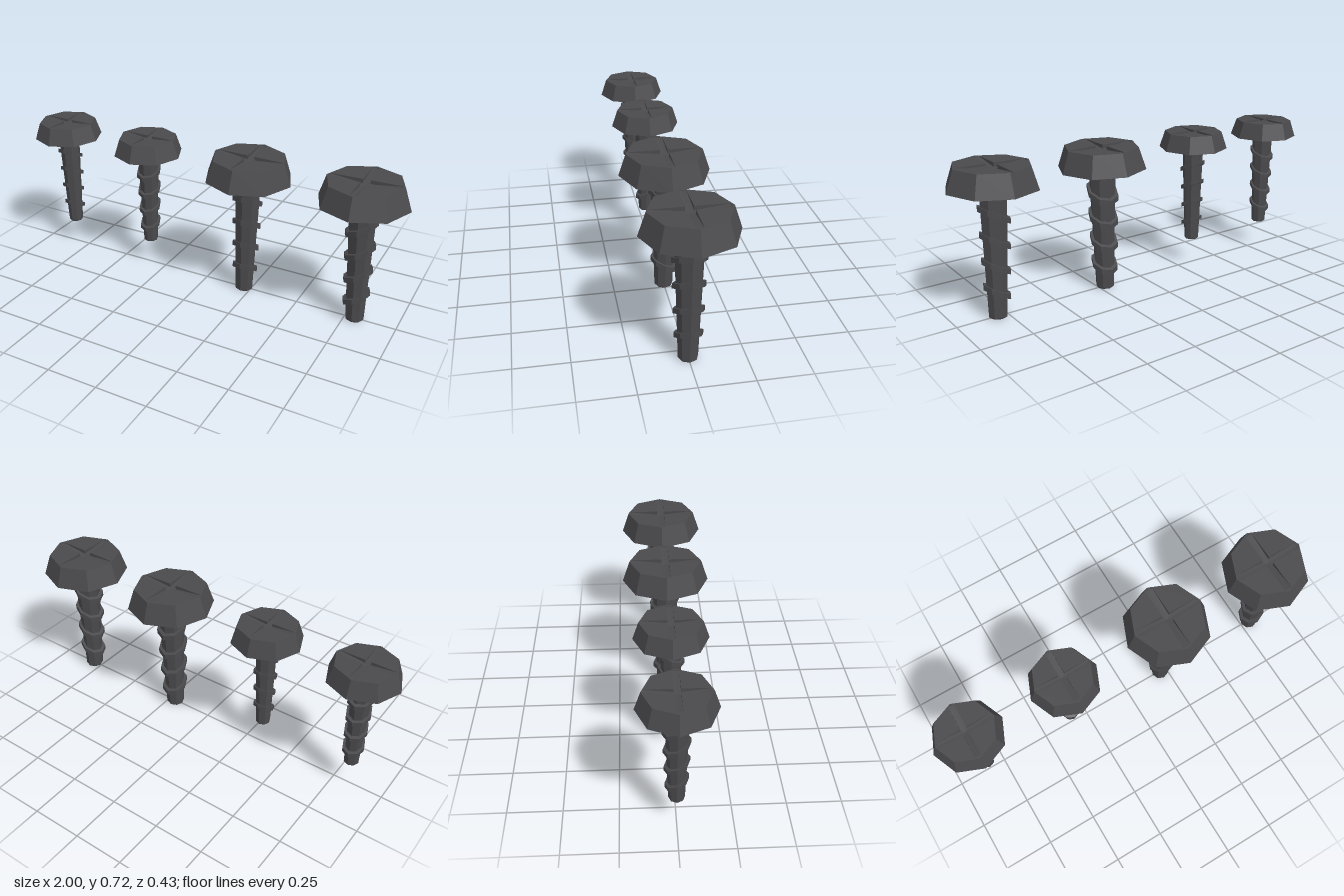
import * as THREE from 'three';

const steel = new THREE.MeshStandardMaterial({ color: 0x4a4a4d });
steel.name = 'dark steel';

const TOP = 0.717, HEAD_BOTTOM = 0.612, R_TOP = 0.179, R_RIM = 0.214;

// Faceted mesh with a plain name
function part(name, geometry) {
  const g = geometry.index ? geometry.toNonIndexed() : geometry;
  g.computeVertexNormals();
  const mesh = new THREE.Mesh(g, steel);
  mesh.name = name;
  return mesh;
}

function lathe(points, sides) {
  return new THREE.LatheGeometry(points.map(([r, y]) => new THREE.Vector2(r, y)), sides);
}

// Octagonal top plate with a cross-shaped slot
function slottedTop() {
  const shape = new THREE.Shape();
  for (let i = 0; i < 8; i++) {
    const a = i * Math.PI / 4;
    shape[i ? 'lineTo' : 'moveTo'](R_TOP * Math.cos(a), R_TOP * Math.sin(a));
  }
  shape.closePath();
  const w = 0.018, l = 0.165;
  const cross = [[w, w], [w, l], [-w, l], [-w, w], [-l, w], [-l, -w],
    [-w, -w], [-w, -l], [w, -l], [w, -w], [l, -w], [l, w]];
  shape.holes.push(new THREE.Path(cross.map(([x, y]) => new THREE.Vector2(x, y)).reverse()));
  const g = new THREE.ExtrudeGeometry(shape, { depth: 0.024, bevelEnabled: false });
  return g.rotateX(-Math.PI / 2).translate(0, TOP - 0.024, 0);
}

// Slot floor: a shallow dish, deepest at the middle
function slotFloor() {
  const g = new THREE.CircleGeometry(R_TOP, 8).rotateX(-Math.PI / 2);
  g.attributes.position.setY(0, -0.022);
  return g.translate(0, TOP - 0.001, 0);
}

// Slanted thread ring, high on its +z side
function threadRing(y) {
  const radius = 0.061 + 0.033 * y;
  const g = new THREE.CylinderGeometry(radius, radius, 0.025, 8);
  const p = g.attributes.position;
  for (let i = 0; i < p.count; i++) p.setY(i, p.getY(i) + 0.48 * p.getZ(i));
  return g.translate(0, y, 0);
}

function makeScrew() {
  const screw = new THREE.Group();
  screw.add(
    part('headSides', lathe([[0, HEAD_BOTTOM], [R_RIM, HEAD_BOTTOM], [R_TOP, TOP]], 8)),
    part('headTop', slottedTop()),
    part('slotFloor', slotFloor()),
    part('shaft', lathe([[0, 0], [0.042, 0], [0.045, 0.005], [0.066, HEAD_BOTTOM + 0.005]], 8)),
  );
  for (const y of [0.49, 0.368, 0.246, 0.124]) screw.add(part('threadRing', threadRing(y)));
  // Put the pivot at the top of the head
  for (const m of screw.children) m.position.y = -TOP;
  return screw;
}

export function createModel() {
  const model = new THREE.Group();
  model.name = 'screws';
  // x, scale, turn about the shaft, sideways lean
  const layout = [
    [-0.828, 0.806, 0, 0.004],
    [-0.335, 0.806, Math.PI, -0.004],
    [0.223, 1, 0, -0.014],
    [0.785, 1, Math.PI / 2, 0.018],
  ];
  layout.forEach(([x, size, turn, lean], i) => {
    const screw = makeScrew();
    screw.name = 'screw' + (i + 1);
    screw.scale.setScalar(size);
    screw.rotation.set(0, turn, lean, 'ZYX');
    screw.position.set(x, TOP, 0);
    model.add(screw);
  });
  return model;
}
